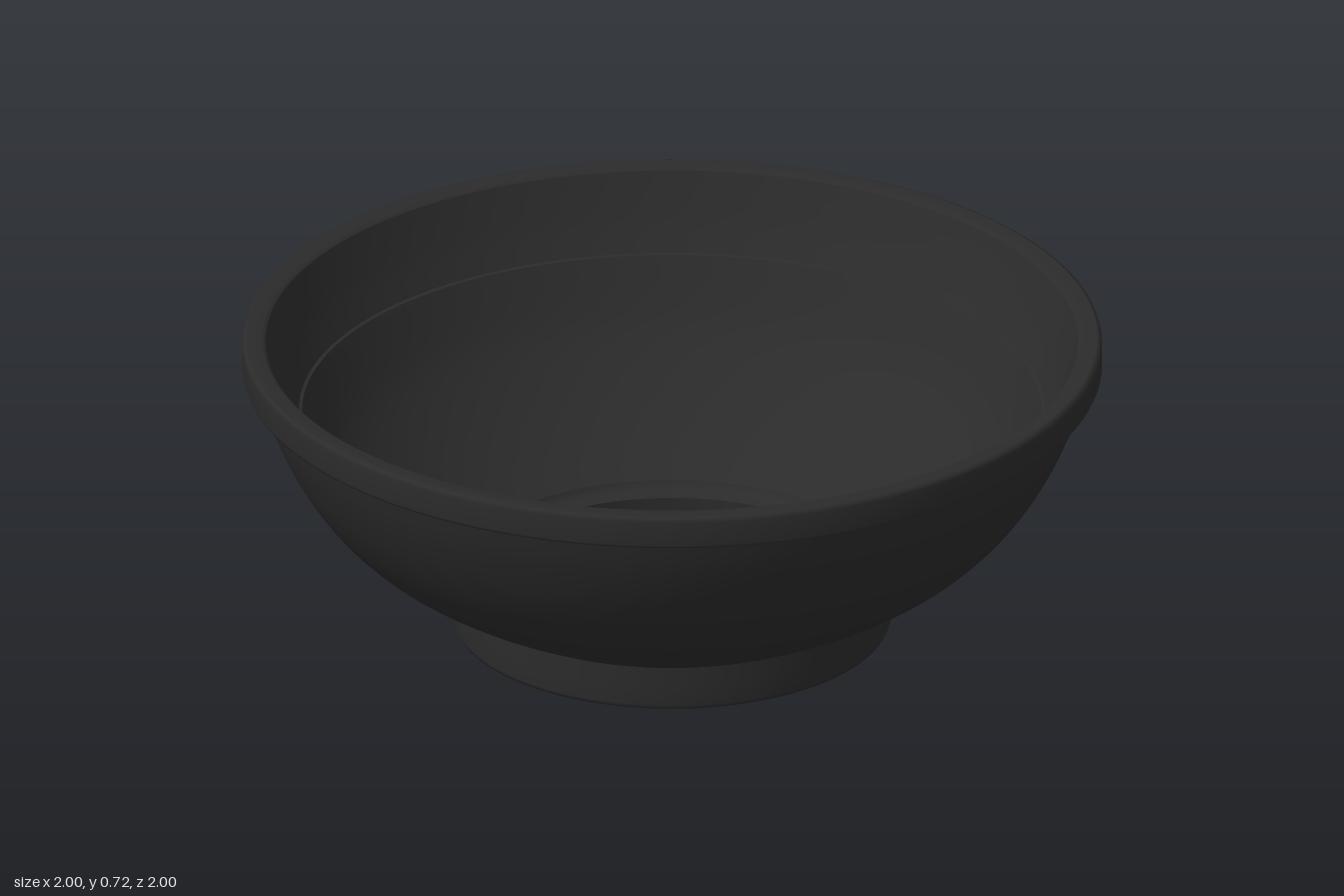
import * as THREE from 'three';

const SEGMENTS = 128;

export function createModel() {
  const group = new THREE.Group();
  group.name = 'bowl';
  const charcoal = new THREE.MeshStandardMaterial({ color: 0x2b2b2b });
  charcoal.name = 'charcoal';

  const v = (p) => p.map(([r, y]) => new THREE.Vector2(r, y));
  // Separate lathed bands keep the edges between them sharp
  const band = (name, profile) => {
    const mesh = new THREE.Mesh(new THREE.LatheGeometry(profile, SEGMENTS), charcoal);
    mesh.name = name;
    group.add(mesh);
  };
  const smooth = (p) => new THREE.SplineCurve(v(p)).getPoints(28);

  // Foot ring, open through the middle
  band('footBottom', v([[0.455, 0.008], [0.462, 0], [0.495, 0]]));
  band('footOutside', v([[0.495, 0], [0.505, 0.004], [0.51, 0.015], [0.51, 0.06], [0.51, 0.112]]));
  band('footTop', v([[0.5, 0.125], [0.49, 0.105], [0.455, 0.1]]));
  band('footInside', v([[0.455, 0.1], [0.455, 0.008]]));

  // Curved wall, outside and inside
  band('outerWall', smooth([[0.505, 0.108], [0.62, 0.17], [0.73, 0.245],
    [0.82, 0.335], [0.89, 0.44], [0.94, 0.55], [0.967, 0.642]]));
  band('innerWall', smooth([[0.86, 0.535], [0.79, 0.395], [0.7, 0.285],
    [0.6, 0.195], [0.5, 0.125]]));

  // Thin groove and sloping collar under the rim
  band('innerGroove', v([[0.868, 0.537], [0.86, 0.535]]));
  band('innerCollar', smooth([[0.945, 0.712], [0.925, 0.66], [0.9, 0.6], [0.868, 0.537]]));

  // Overhanging rim with rounded edges
  band('rimUnderside', v([[0.965, 0.64], [0.99, 0.64]]));
  band('rimOutside', v([[0.99, 0.64], [0.997, 0.643], [1, 0.65], [1, 0.68],
    [1, 0.708], [0.997, 0.717], [0.99, 0.72]]));
  band('rimTop', v([[0.99, 0.72], [0.955, 0.72], [0.945, 0.712]]));

  return group;
}
